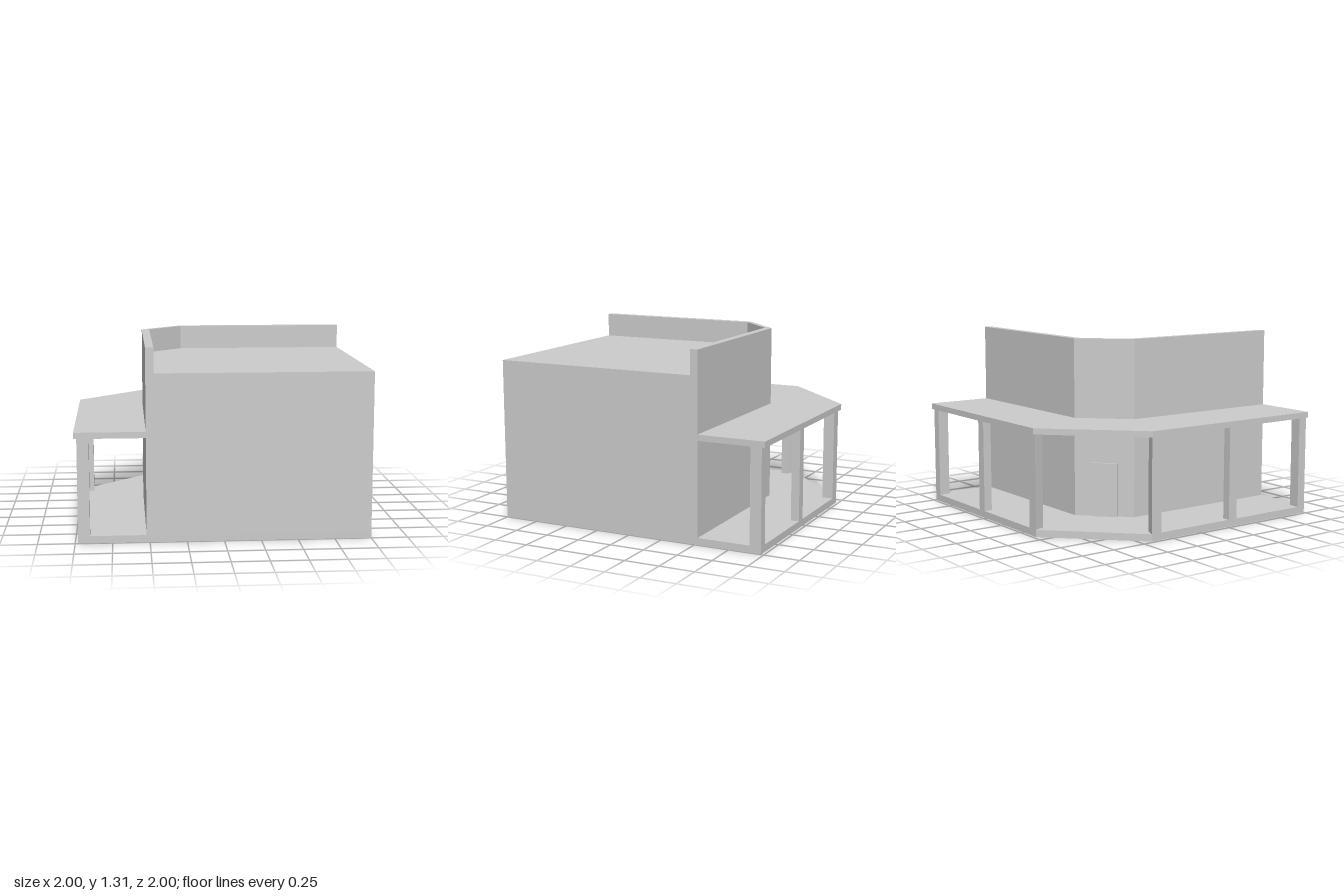
import * as THREE from 'three';

const material = new THREE.MeshStandardMaterial({ color: 0xcccccc, flatShading: true });

// Extrude a floor-plan polygon of [x, z] points from height y0 to y1
function prism(name, plan, y0, y1) {
  const shape = new THREE.Shape(plan.map(([x, z]) => new THREE.Vector2(x, -z)));
  const geometry = new THREE.ExtrudeGeometry(shape, { depth: y1 - y0, bevelEnabled: false });
  geometry.rotateX(-Math.PI / 2).translate(0, y0, 0);
  const mesh = new THREE.Mesh(geometry, material);
  mesh.name = name;
  return mesh;
}

// Edge line running along the left wing, across the cut corner and along the back wing
const edge = (outer, cut) => [[-outer, 1], [-outer, -cut], [-cut, -outer], [1, -outer]];
const solid = (line) => [...line, [1, 1]];
const band = (outer, inner) => [...outer, ...inner.slice().reverse()];

// The plan is symmetric about the diagonal, so swapping x and z mirrors it
const swap = (plan) => plan.map(([x, z]) => [z, x]);
const rect = (x0, x1, z0, z1) => [[x0, z0], [x1, z0], [x1, z1], [x0, z1]];

export function createModel() {
  const group = new THREE.Group();
  group.name = 'cornerShop';

  const floorY = 0.05, awningY = 0.71, roofY = 1.14;
  const wall = edge(0.523, 0.222);

  // Main masses
  group.add(prism('base', solid(edge(0.98, 0.42)), 0, floorY));
  group.add(prism('building', solid(wall), floorY, roofY));
  group.add(prism('parapet', band(wall, edge(0.468, 0.222)), roofY, 1.312));
  group.add(prism('awning', band(edge(1, 0.43), wall), awningY, 0.752));

  // Porch posts on the back wing, mirrored to the side wing
  const posts = {
    endPost: rect(0.935, 1, -0.98, -0.9),
    middlePost: rect(0.265, 0.335, -0.98, -0.92),
    cornerPost: [[-0.42, -0.98], [-0.34, -0.98], [-0.34, -0.9], [-0.387, -0.9]],
  };
  for (const [name, plan] of Object.entries(posts)) {
    group.add(prism(name + 'Back', plan, floorY, awningY));
    group.add(prism(name + 'Side', swap(plan), floorY, awningY));
  }

  // Door on the cut corner
  const door = new THREE.Mesh(new THREE.BoxGeometry(0.185, 0.385, 0.03), material);
  door.name = 'door';
  door.position.set(-0.3725, floorY + 0.1925, -0.3725);
  door.rotation.y = Math.PI / 4;
  group.add(door);

  return group;
}
